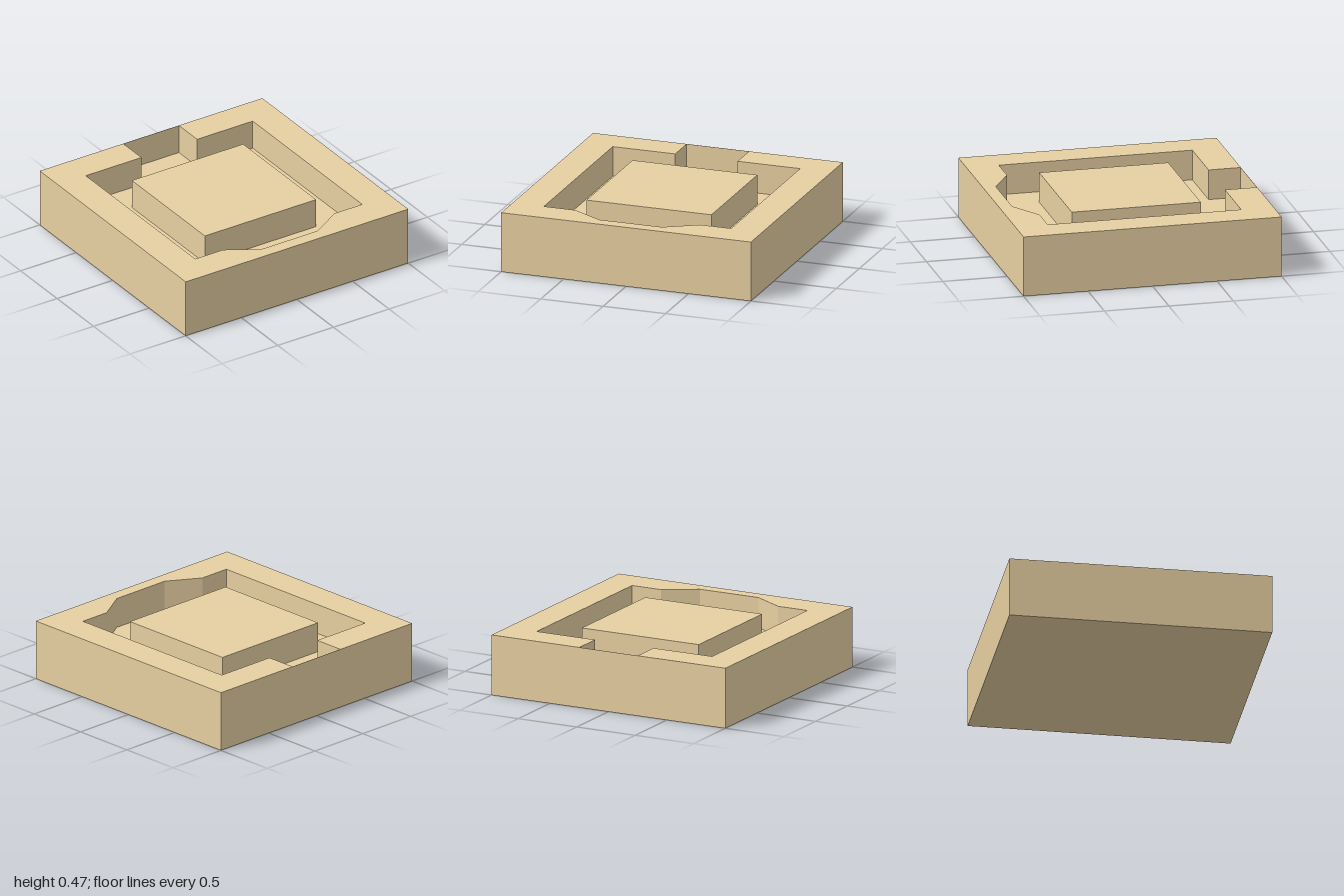
import * as THREE from 'three';

const HEIGHT = 0.468, FLOOR = 0.234;

export function createModel() {
  const model = new THREE.Group();
  const material = new THREE.MeshStandardMaterial({ color: 0xe6cfa1, flatShading: true });

  const add = (name, geometry, y) => {
    const mesh = new THREE.Mesh(geometry, material);
    mesh.name = name;
    mesh.position.y = y;
    model.add(mesh);
  };

  // Solid slab whose top is the floor of the recess
  add('base', new THREE.BoxGeometry(2, FLOOR, 2), FLOOR / 2);

  // Rim: square outline with the recess cut out (right half as x, z, then mirrored);
  // the rear notch leaves only a paper-thin back wall
  const half = [[0.25, -0.998], [0.25, -0.75], [0.75, -0.75], [0.75, 0.75], [0.5, 0.75], [0.25, 0.9]];
  const recess = [...half, ...half.map(([x, z]) => [-x, z]).reverse()];
  const toPoints = (list) => list.map(([x, z]) => new THREE.Vector2(x, -z));
  const outline = new THREE.Shape(toPoints([[-1, 1], [1, 1], [1, -1], [-1, -1]]));
  outline.holes.push(new THREE.Path(toPoints(recess)));
  const rim = new THREE.ExtrudeGeometry(outline, { depth: HEIGHT - FLOOR, bevelEnabled: false });
  rim.rotateX(-Math.PI / 2);
  add('rim', rim, FLOOR);

  // Central raised block, level with the rim
  add('centreBlock', new THREE.BoxGeometry(1, HEIGHT - FLOOR, 1), (HEIGHT + FLOOR) / 2);

  return model;
}
